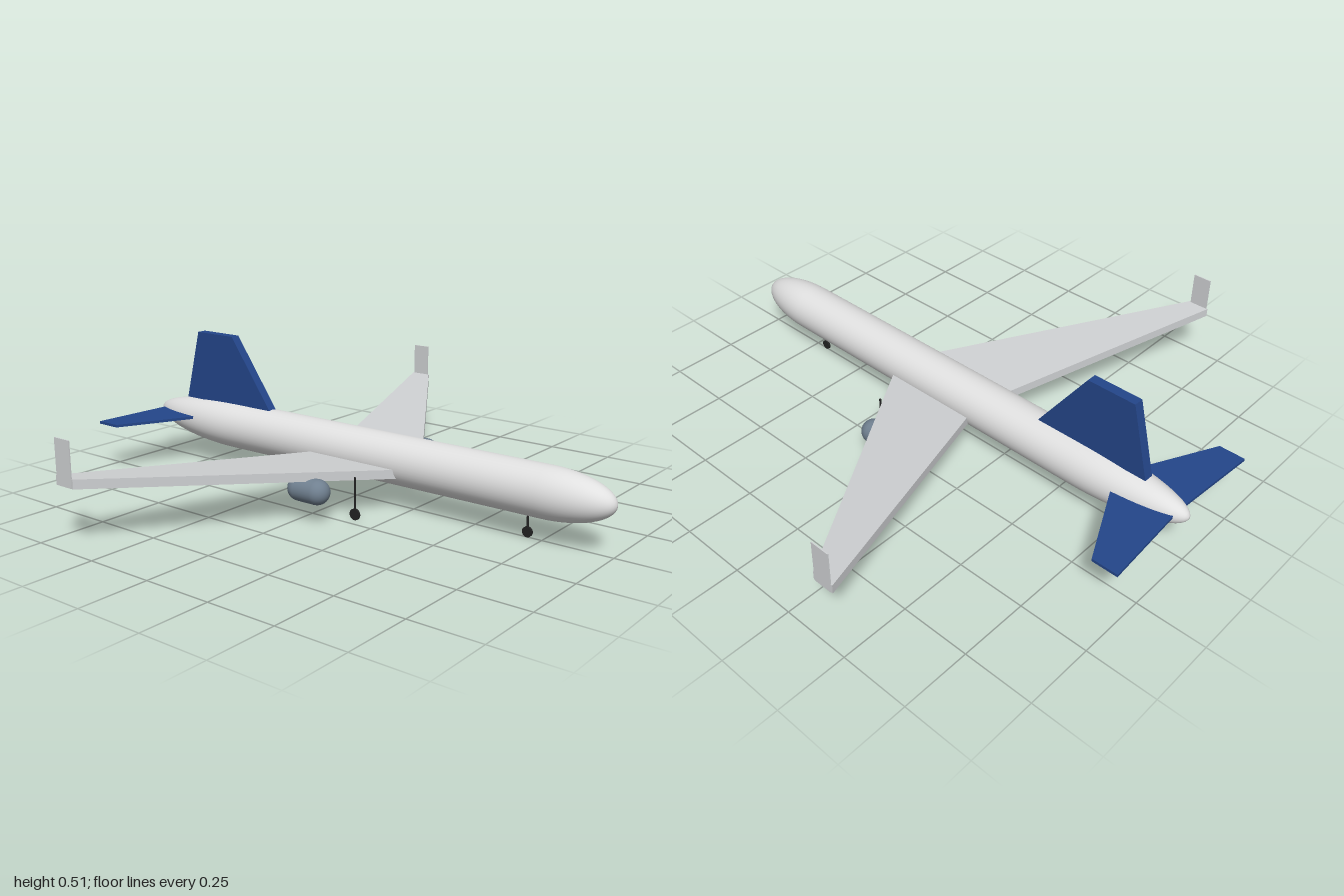
import * as THREE from 'three';

const mat = (name, color) => {
  const m = new THREE.MeshStandardMaterial({ color });
  m.name = name;
  return m;
};

export function createModel() {
  const model = new THREE.Group();
  model.name = 'airliner';
  const white = mat('fuselage light grey', 0xe0e0e0);
  const grey = mat('wing grey', 0xcfd1d3);
  const blue = mat('tail blue', 0x24468a);
  const slate = mat('engine slate', 0x708090);
  const dark = mat('gear black', 0x222222);

  const add = (name, geometry, material, x = 0, y = 0, z = 0) => {
    const mesh = new THREE.Mesh(geometry, material);
    mesh.name = name;
    mesh.position.set(x, y, z);
    model.add(mesh);
    return mesh;
  };

  // Tapered slab: sections give [xBack, xFront, yBottom, yTop, z] at root and tip
  const slab = (side, root, tip) => {
    const g = new THREE.BoxGeometry(2, 2, 2);
    const p = g.attributes.position;
    for (let i = 0; i < p.count; i++) {
      const s = p.getZ(i) * side > 0 ? tip : root;
      p.setXYZ(i, p.getX(i) > 0 ? s[1] : s[0], p.getY(i) > 0 ? s[3] : s[2], s[4] * side);
    }
    g.computeVertexNormals();
    return g;
  };

  // Fuselage: blunt elliptical nose, longer tail whose axis rises slightly
  const R = 0.088, tailX = -0.58, noseX = 0.76, N = 16;
  const profile = [];
  for (let i = 0; i <= N; i++) {
    const a = (i / N) * Math.PI / 2;
    profile.push(new THREE.Vector2(R * Math.sin(a), tailX - 0.42 * Math.cos(a)));
  }
  for (let i = 0; i <= N; i++) {
    const a = (i / N) * Math.PI / 2;
    profile.push(new THREE.Vector2(R * Math.cos(a), noseX + 0.24 * Math.sin(a)));
  }
  const body = new THREE.LatheGeometry(profile, 48);
  body.rotateZ(-Math.PI / 2);
  const bp = body.attributes.position;
  for (let i = 0; i < bp.count; i++) {
    const t = Math.max(0, (tailX - bp.getX(i)) / 0.42);
    bp.setY(i, bp.getY(i) + 0.014 * t * t);
  }
  add('fuselage', body, white, 0, 0.167, 0);

  // Upright fin
  const finShape = new THREE.Shape([[-0.84, 0.247], [-0.4, 0.247], [-0.59, 0.515], [-0.77, 0.515]]
    .map(([x, y]) => new THREE.Vector2(x, y)));
  const fin = new THREE.ExtrudeGeometry(finShape, { depth: 0.036, bevelEnabled: false });
  add('tailFin', fin, blue, 0, 0, -0.018);

  // Landing gear: thin strut and disc wheel
  const gear = (name, x, z, top, r) => {
    const h = top - r;
    add(name + 'Strut', new THREE.CylinderGeometry(0.004, 0.004, h, 10), dark, x, r + h / 2, z);
    add(name + 'Wheel', new THREE.CylinderGeometry(r, r, 0.008, 24).rotateX(Math.PI / 2), dark, x, r, z);
  };
  gear('noseGear', 0.697, 0, 0.1, 0.018);

  // Mirrored parts; nose points to +x, so the sides are at +z and -z
  for (const side of [1, -1]) {
    const tag = side > 0 ? 'near' : 'far';
    add(tag + 'Wing', slab(side, [-0.117, 0.277, 0.118, 0.15, 0],
      [-0.437, -0.355, 0.2, 0.232, 0.97]), grey);
    add(tag + 'Winglet', new THREE.BoxGeometry(0.07, 0.155, 0.004), grey, -0.396, 0.278, side * 0.97);
    add(tag + 'Stabilizer', slab(side, [-0.96, -0.715, 0.18, 0.19, 0],
      [-0.983, -0.888, 0.18, 0.19, 0.35]), blue);
    const pod = new THREE.CapsuleGeometry(0.044, 0.074, 10, 32).rotateZ(Math.PI / 2);
    add(tag + 'Engine', pod, slate, 0.044, 0.111, side * 0.32);
    gear(tag + 'MainGear', 0.157, side * 0.214, 0.15, 0.02);
  }
  return model;
}
